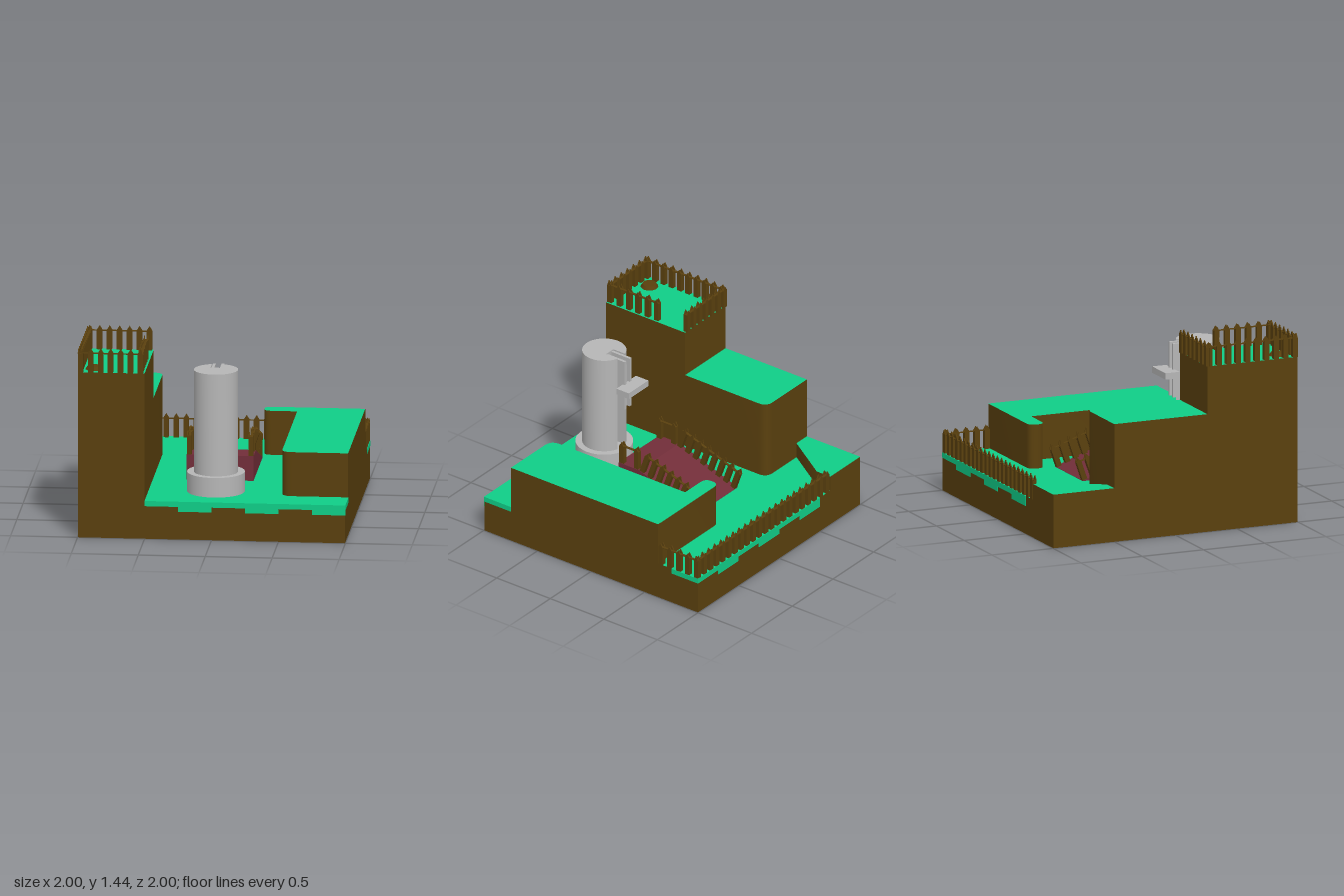
import * as THREE from 'three';
import { mergeGeometries, toCreasedNormals } from 'three/addons/utils/BufferGeometryUtils.js';

const material = (name, color) => {
  const m = new THREE.MeshStandardMaterial({ color });
  m.name = name;
  return m;
};

export function createModel() {
  const grass = material('grass green', 0x10cd87);
  const earth = material('earth brown', 0x5a400e);
  const carpet = material('ramp maroon', 0x722e39);
  const metal = material('metal grey', 0xb6b6b6);
  const root = new THREE.Group();
  const E = 0.997, GROUND = 0.29, V = (x, y, z) => new THREE.Vector3(x, y, z);

  const add = (name, geo, mat) => {
    const mesh = new THREE.Mesh(geo, mat);
    mesh.name = name;
    root.add(mesh);
    return mesh;
  };
  // box given by its ranges
  const box = (name, mat, x0, x1, y0, y1, z0, z1) =>
    add(name, new THREE.BoxGeometry(x1 - x0, y1 - y0, z1 - z0)
      .translate((x0 + x1) / 2, (y0 + y1) / 2, (z0 + z1) / 2), mat);

  // plan outline of [x, z, cornerRadius] points
  const outline = (pts) => {
    const shape = new THREE.Shape();
    pts.forEach(([x, z, r = 0], i) => {
      const p = new THREE.Vector2(x, -z);
      const toward = (q) => new THREE.Vector2(q[0], -q[1]).sub(p).setLength(r).add(p);
      const a = toward(pts[(i + pts.length - 1) % pts.length]);
      const b = toward(pts[(i + 1) % pts.length]);
      if (i === 0) shape.moveTo(a.x, a.y); else shape.lineTo(a.x, a.y);
      if (r) shape.quadraticCurveTo(p.x, p.y, b.x, b.y);
    });
    return shape;
  };
  const raise = (shape, y0, y1, curveSegments = 8) => toCreasedNormals(
    new THREE.ExtrudeGeometry(shape, { depth: y1 - y0, bevelEnabled: false, curveSegments })
      .rotateX(-Math.PI / 2).translate(0, y0, 0), 0.6);
  // raised land with grass on top and earth sides
  const land = (name, top, pts) => add(name, raise(outline(pts), 0.02, top), [grass, earth]);

  // ground and raised terrain
  add('ground', new THREE.BoxGeometry(2 * E, GROUND, 2 * E).translate(0, GROUND / 2, 0),
    [earth, earth, grass, earth, earth, earth]);
  land('tower', 1.265, [[-E, E], [-0.5, E], [-0.5, 0.26], [-E, 0.26]]);
  land('ledge', 0.9, [[-E, 0.26], [-0.5, 0.26], [-0.5, -0.5, 0.075], [-E, -0.5]]);
  land('cornerMound', 0.41, [[-E, -0.49], [-0.875, -0.49], [-0.63, -0.87], [-0.63, -E], [-E, -E]]);
  land('sideHill', 0.627, [[0.5, 0.75, 0.08], [E, 0.75], [E, -0.625], [0.25, -0.625, 0.06],
    [0.25, -0.5, 0.06], [0.5, -0.5]]);

  // stepped grass edging along the front and back
  const edging = (name, drops, z) => {
    const s = new THREE.Shape();
    s.moveTo(-0.5, GROUND);
    s.lineTo(-0.5, 0.25);
    for (const d of drops) {
      s.lineTo(d, 0.25);
      s.lineTo(d, 0.213);
      s.lineTo(d + 0.25, 0.213);
      s.lineTo(d + 0.25, 0.25);
    }
    s.lineTo(1, 0.25);
    s.lineTo(1, GROUND);
    add(name, new THREE.ExtrudeGeometry(s, { depth: 0.006, bevelEnabled: false }).translate(0, 0, z), grass);
  };
  edging('frontGrassEdge', [-0.25, 0.25, 0.75], 0.994);
  edging('backGrassEdge', [-0.5, 0, 0.5], -1);
  box('sideGrassEdgeFront', grass, 0.994, 1, 0.25, GROUND, 0.75, 0.995);
  box('sideGrassEdgeBack', grass, 0.994, 1, 0.25, GROUND, -0.995, -0.75);

  // picket: a post between two pointed boards
  const board = new THREE.Shape([[-0.02, 0], [0.02, 0], [0.02, 0.146], [0, 0.178], [-0.02, 0.146]]
    .map(([x, y]) => new THREE.Vector2(x, y)));
  const boardGeo = new THREE.ExtrudeGeometry(board, { depth: 0.008, bevelEnabled: false });
  const picket = mergeGeometries([
    boardGeo.clone().translate(0, 0, 0.009),
    boardGeo.clone().translate(0, 0, -0.017),
    new THREE.BoxGeometry(0.038, 0.146, 0.02).translate(0, 0.073, 0).toNonIndexed(),
  ]);
  // fence from a to b, standing square to its run
  const fence = (name, a, b) => {
    const len = a.distanceTo(b), n = Math.round(len / 0.075);
    const parts = [new THREE.BoxGeometry(len, 0.006, 0.02).translate(len / 2, 0.143, 0).toNonIndexed()];
    for (let i = 0; i < n; i++)
      parts.push(picket.clone().translate(0.022 + (len - 0.044) * i / (n - 1), 0, 0));
    const dir = b.clone().sub(a).normalize();
    const side = dir.clone().cross(V(0, 1, 0)).normalize();
    const frame = new THREE.Matrix4().makeBasis(dir, side.clone().cross(dir), side).setPosition(a);
    add(name, mergeGeometries(parts).applyMatrix4(frame), earth);
  };
  const T = 1.265;
  fence('towerFenceFront', V(-1, T, 0.98), V(-0.51, T, 0.98));
  fence('towerFenceBack', V(-1, T, 0.266), V(-0.51, T, 0.266));
  fence('towerFenceOuter', V(-0.98, T, 0.26), V(-0.98, T, 1));
  fence('towerFenceInner', V(-0.53, T, 0.52), V(-0.53, T, 1));
  fence('backFence', V(-0.62, GROUND, -0.98), V(1, GROUND, -0.98));
  fence('sideFence', V(0.98, GROUND, -1), V(0.98, GROUND, -0.625));

  // low round hatch on the tower
  add('hatch', new THREE.CylinderGeometry(0.05, 0.066, 0.025, 24).translate(-0.885, T + 0.012, 0.885), earth);

  // ramp: level landing, then a slope down to the back
  const profile = new THREE.Shape([[-0.31, 0.28], [0.42, 0.28], [0.42, 0.292], [-0.12, 0.48], [-0.31, 0.48]]
    .map(([x, y]) => new THREE.Vector2(x, y)));
  add('ramp', new THREE.ExtrudeGeometry(profile, { depth: 0.5, bevelEnabled: false })
    .translate(0, 0, -0.25).rotateY(Math.PI / 2), carpet);
  for (const s of [-1, 1]) {
    fence('landingRailing', V(0.23 * s, 0.48, 0.31), V(0.23 * s, 0.48, 0.13));
    fence('slopeRailing', V(0.23 * s, 0.48, 0.12), V(0.23 * s, 0.292, -0.42));
  }

  // column with a slot down its back
  const CZ = 0.635, R = 0.165, w = 0.045, a = Math.acos(w / R);
  const section = new THREE.Shape();
  section.absarc(0, 0, R, Math.PI - a, 2 * Math.PI + a, false);
  section.lineTo(w, 0.05);
  section.lineTo(-w, 0.05);
  add('column', raise(section, GROUND, 1.22, 40).translate(0, 0, CZ), metal);
  add('columnBase', new THREE.CylinderGeometry(0.215, 0.215, 0.15, 40).translate(0, GROUND + 0.075, CZ), metal);

  // slider in the slot with its cross handle
  for (const s of [-1, 1])
    box('sliderCheek', metal, s * 0.032 - 0.011, s * 0.032 + 0.011, 0.8, 1.21, 0.413, 0.584);
  box('sliderCore', metal, -0.022, 0.022, 0.8, 1.15, 0.44, 0.584);
  box('crossHandle', metal, -0.12, 0.12, 0.963, 1.012, 0.315, 0.43);
  return root;
}
